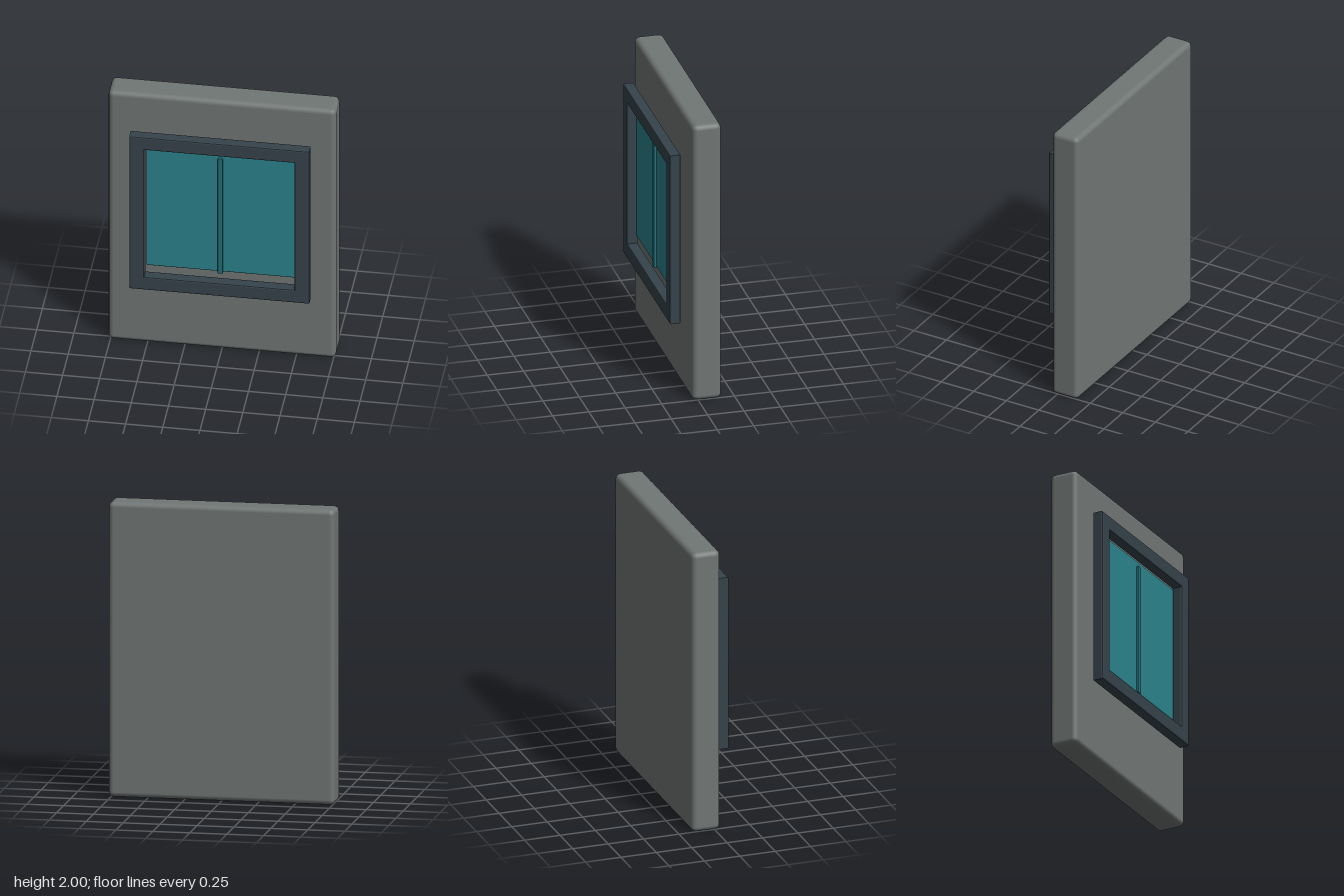
import * as THREE from 'three';
import { RoundedBoxGeometry } from 'three/addons/geometries/RoundedBoxGeometry.js';

const material = (color) => new THREE.MeshStandardMaterial({ color });

// Rounded box given by its minimum and maximum corners
function slab(name, min, max, radius, mat) {
  const [w, h, d] = max.map((v, i) => v - min[i]);
  const mesh = new THREE.Mesh(new RoundedBoxGeometry(w, h, d, 2, radius), mat);
  mesh.position.set(...max.map((v, i) => (v + min[i]) / 2));
  mesh.name = name;
  return mesh;
}

function rectangle(PathType, x, y0, y1) {
  return new PathType([[-x, y0], [x, y0], [x, y1], [-x, y1]].map((p) => new THREE.Vector2(...p)));
}

export function createModel() {
  const model = new THREE.Group();
  model.name = 'wallWindow';
  const wallGrey = material(0x717775);
  const frameDark = material(0x36434b);
  const glassTeal = material(0x2b838c);
  const barTeal = material(0x22707a);

  // Wall panel
  model.add(slab('wallPanel', [-0.765, 0, -0.16], [0.765, 2, 0.04], 0.035, wallGrey));

  // Bevelled frame standing clear of the wall
  const bevel = 0.01;
  const outline = rectangle(THREE.Shape, 0.605, 0.505, 1.733);
  outline.holes.push(rectangle(THREE.Path, 0.505, 0.608, 1.632));
  const frame = new THREE.Mesh(new THREE.ExtrudeGeometry(outline, {
    depth: 0.075 - 2 * bevel,
    bevelThickness: bevel,
    bevelSize: bevel,
    bevelOffset: -bevel,
    bevelSegments: 2,
  }), frameDark);
  frame.position.z = 0.08 + bevel;
  frame.name = 'windowFrame';
  model.add(frame);

  // Pane, leaving a gap above the sill, with its central bar
  model.add(slab('glassPane', [-0.5, 0.663, 0.07], [0.5, 1.622, 0.092], 0.008, glassTeal));
  model.add(slab('centreBar', [-0.018, 0.657, 0.085], [0.018, 1.58, 0.109], 0.005, barTeal));

  return model;
}
